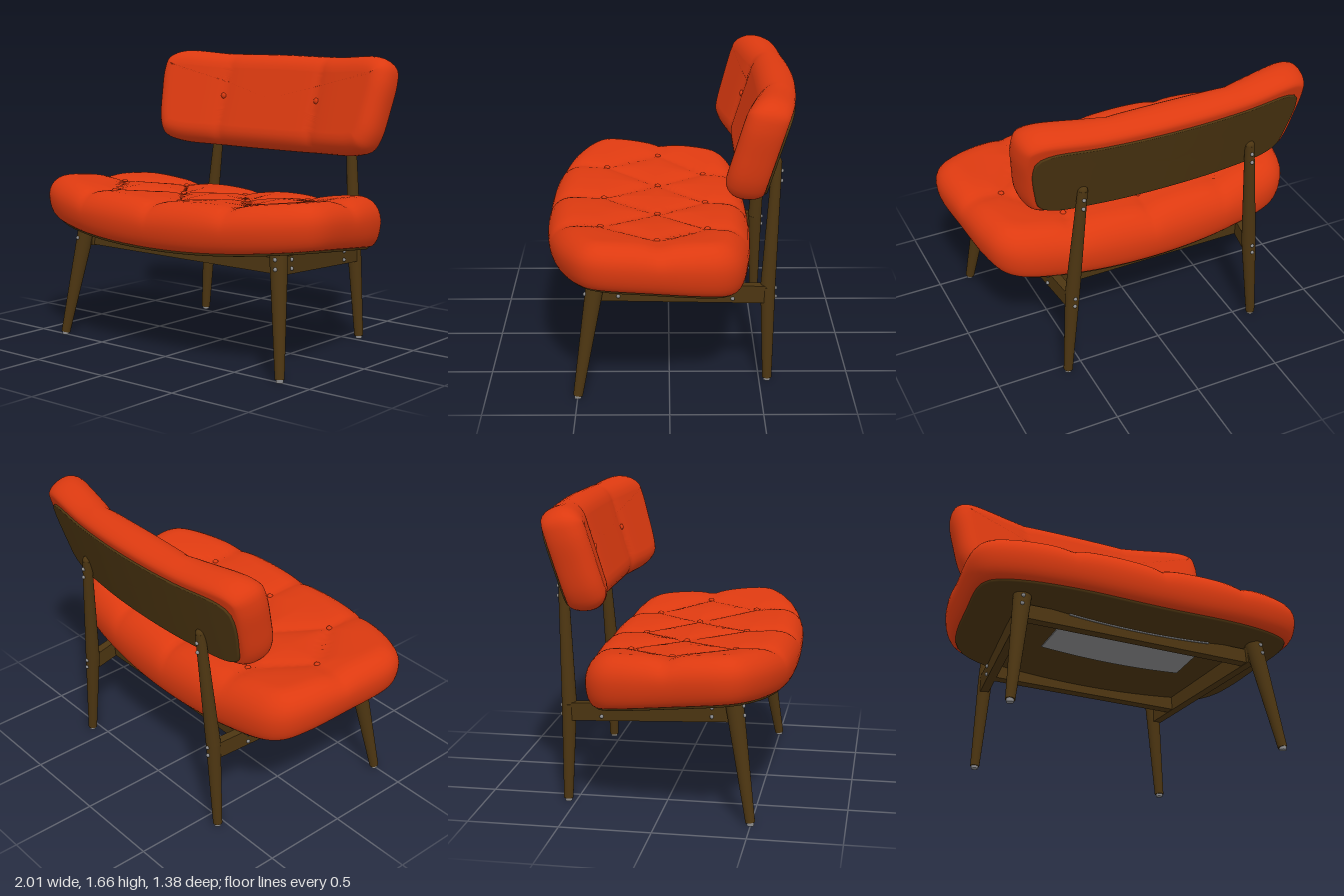
import * as THREE from 'three';

const fabric = new THREE.MeshStandardMaterial({ color: 0xdd3a10 });
fabric.name = 'orange fabric';
const wood = new THREE.MeshStandardMaterial({ color: 0x4c3511 });
wood.name = 'dark wood';
const metal = new THREE.MeshStandardMaterial({ color: 0x8c8c8e });
metal.name = 'grey metal';

const V = (x, y, z) => new THREE.Vector3(x, y, z);

function mesh(parent, name, geometry, material) {
  const m = new THREE.Mesh(geometry, material);
  m.name = name;
  parent.add(m);
  return m;
}

// Closed outline from half of its points, first and last on the centre line
function outline(half) {
  const other = half.slice(1, -1).reverse().map(([a, b]) => [-a, b]);
  const pts = [...half, ...other].map(([a, b]) => V(a, b, 0));
  return new THREE.CatmullRomCurve3(pts, true, 'centripetal');
}

// Padded slab: rings run from the back centre, round the rim, to the front centre.
// place(a, b, h) bends the flat slab into shape; h is 0 on the back and 1 on the front.
function pad(curve, centre, [rBack, rFront], place, n = 180, flat = 26) {
  const pts = curve.getSpacedPoints(n).slice(0, n);
  const rings = [];
  for (let k = 0; k < flat; k++) rings.push([rBack, k / flat, 0]);
  for (let k = 0; k <= 14; k++) {
    const t = (k / 14 - 0.5) * Math.PI;
    rings.push([(t < 0 ? rBack : rFront) * (1 - Math.cos(t)), 1, 0.5 + 0.5 * Math.sin(t)]);
  }
  for (let k = flat - 1; k >= 0; k--) rings.push([rFront, k / flat, 1]);

  // inward direction, from the neighbours on the outline
  const turn = Math.sign(pts.reduce((s, p, i) => {
    const q = pts[(i + 1) % n];
    return s + p.x * q.y - q.x * p.y;
  }, 0));
  const inward = pts.map((p, i) => {
    const d = pts[(i + 1) % n].clone().sub(pts[(i + n - 1) % n]).normalize();
    return [-d.y * turn, d.x * turn];
  });

  const pos = [], index = [];
  rings.forEach(([inset, s, h], j) => {
    pts.forEach((p, i) => {
      const a = p.x + inward[i][0] * inset, b = p.y + inward[i][1] * inset;
      pos.push(...place(a * s, centre + (b - centre) * s, h).toArray());
      if (j === rings.length - 1) return;
      const p0 = j * n + i, p1 = j * n + (i + 1) % n;
      index.push(p0, p1, p0 + n, p1, p1 + n, p0 + n);
    });
  });
  const g = new THREE.BufferGeometry();
  g.setAttribute('position', new THREE.Float32BufferAttribute(pos, 3));
  g.setIndex(index);
  g.computeVertexNormals();
  return g;
}

// Round tapered bar between two points
function bar(parent, name, from, to, r0, r1, material = wood) {
  const m = mesh(parent, name, new THREE.CylinderGeometry(r1, r0, from.distanceTo(to), 24), material);
  m.position.lerpVectors(from, to, 0.5);
  m.quaternion.setFromUnitVectors(V(0, 1, 0), to.clone().sub(from).normalize());
  return m;
}

function ball(parent, name, p, r, material) {
  const m = mesh(parent, name, new THREE.SphereGeometry(r, 12, 8), material);
  m.position.copy(p);
  return m;
}

// Tufting pattern of the seat: button rows and the creases joining them
const backRow = [-0.46, 0, 0.46].map(x => [x, -0.21]);
const midRow = [-0.72, -0.24, 0.24, 0.72].map(x => [x, 0.065]);
const frontRow = [-0.5, 0, 0.5].map(x => [x, 0.375]);
const creases = [];
for (const m of midRow) {
  for (const p of [...backRow, ...frontRow]) if (Math.abs(p[0] - m[0]) < 0.3) creases.push([m, p]);
  if (Math.abs(m[0]) > 0.5) creases.push([m, [m[0] * 1.6, m[1] - 0.03]]);
}
for (const p of backRow) creases.push([p, [p[0], -0.6]]);
for (const p of frontRow) creases.push([p, [p[0] * 1.05, 0.8]]);

function distanceTo([[ax, az], [bx, bz]], x, z) {
  const dx = bx - ax, dz = bz - az;
  const t = THREE.MathUtils.clamp(((x - ax) * dx + (z - az) * dz) / (dx * dx + dz * dz), 0, 1);
  return Math.hypot(x - ax - dx * t, z - az - dz * t);
}

// Dished, backward sloping underside of the seat
const underside = (x, z) => 0.575 + 0.095 * x * x + 0.1 * z;

function seatPoint(x, z, h) {
  const d = Math.min(...creases.map(c => distanceTo(c, x, z)));
  const puff = 0.035 * (1 - 0.8 * x * x) - 0.032 * Math.exp(-d / 0.07);
  return V(x, underside(x, z) + h * (0.265 - 0.05 * z) + h * h * puff, z);
}

// Reclined backrest with wings bent forward
const backPlane = (x, y) => -0.54 - 0.31 * (y - 1.09) + 0.13 * x * x;

function backPoint(x, y, h) {
  const ax = Math.abs(x);
  const front = -0.34 - 0.31 * (y - 1.09) + 0.22 * Math.max(0, ax - 0.33);
  const crease = 0.012 * h * h * Math.exp(-Math.abs(ax - 0.35) / 0.04);
  return V(x, y + (h - 0.5) * 0.05, THREE.MathUtils.lerp(backPlane(x, y), front, h) - crease);
}

export function createModel() {
  const chair = new THREE.Group();
  chair.name = 'loungeChair';

  // Seat cushion, its board and the plate underneath
  const seatHalf = [[0, 0.685], [0.5, 0.655], [0.82, 0.56], [0.96, 0.465], [1, 0.37], [0.975, 0.08],
    [0.94, -0.17], [0.89, -0.31], [0.8, -0.385], [0.5, -0.44], [0, -0.465]];
  mesh(chair, 'seatCushion', pad(outline(seatHalf), 0.1, [0.06, 0.14], seatPoint), fabric);
  const boardHalf = seatHalf.map(([x, z]) => [x * 0.94, 0.1 + (z - 0.1) * 0.91]);
  mesh(chair, 'seatBoard', pad(outline(boardHalf), 0.1, [0.008, 0.008],
    (x, z, h) => V(x, underside(x, z) - 0.012 + h * 0.03, z), 90, 10), wood);
  const plate = new THREE.BoxGeometry(0.86, 0.008, 0.38, 16, 1, 1).translate(0, 0, 0.19);
  const pp = plate.attributes.position;
  for (let i = 0; i < pp.count; i++) {
    pp.setY(i, pp.getY(i) + underside(pp.getX(i), pp.getZ(i)) - 0.015);
  }
  plate.computeVertexNormals();
  mesh(chair, 'undersidePlate', plate, metal);

  // Backrest cushion and rear panel
  const restHalf = [[0, 1.088], [0.4, 1.092], [0.66, 1.105], [0.75, 1.135], [0.795, 1.21], [0.825, 1.38],
    [0.838, 1.53], [0.82, 1.61], [0.74, 1.652], [0.4, 1.642], [0, 1.645]];
  mesh(chair, 'backCushion', pad(outline(restHalf), 1.37, [0.05, 0.1], backPoint), fabric);
  const panelHalf = [[0, 1.13], [0.4, 1.13], [0.64, 1.14], [0.715, 1.18], [0.745, 1.28],
    [0.77, 1.45], [0.755, 1.53], [0.69, 1.565], [0.4, 1.565], [0, 1.565]];
  mesh(chair, 'backPanel', pad(outline(panelHalf), 1.35, [0.008, 0.008],
    (x, y, h) => V(x, y - 0.025, backPlane(x, y) - 0.012 + h * 0.03), 90, 10), wood);

  // Buttons
  for (const [x, z] of [...backRow, ...midRow, ...frontRow]) {
    ball(chair, 'seatButton', seatPoint(x, z, 1).add(V(0, 0.004, 0)), 0.017, fabric).scale.y = 0.7;
  }
  for (const x of [-0.35, 0.35]) {
    ball(chair, 'backButton', backPoint(x, 1.37, 1).add(V(0, 0, 0.003)), 0.018, fabric).scale.z = 0.7;
  }

  // Legs, side rails and hardware
  for (const s of [1, -1]) {
    const side = new THREE.Group();
    side.name = s > 0 ? 'leftFrame' : 'rightFrame';
    chair.add(side);
    bar(side, 'frontLeg', V(s * 0.805, 0.015, 0.498), V(s * 0.715, 0.655, 0.395), 0.026, 0.05);
    bar(side, 'backLegLower', V(s * 0.595, 0.015, -0.545), V(s * 0.555, 0.55, -0.541), 0.026, 0.041);
    bar(side, 'backLegUpper', V(s * 0.555, 0.55, -0.541), V(s * 0.497, 1.25, -0.578), 0.041, 0.027);
    ball(side, 'backLegTip', V(s * 0.497, 1.25, -0.578), 0.027, wood);
    bar(side, 'frontGlide', V(s * 0.806, 0, 0.499), V(s * 0.806, 0.02, 0.499), 0.02, 0.02, metal);
    bar(side, 'backGlide', V(s * 0.595, 0, -0.545), V(s * 0.595, 0.02, -0.545), 0.02, 0.02, metal);

    const from = V(s * 0.565, 0.512, -0.53), to = V(s * 0.7, 0.59, 0.39);
    const rail = mesh(side, 'sideRail', new THREE.BoxGeometry(0.05, 0.1, from.distanceTo(to)), wood);
    rail.position.lerpVectors(from, to, 0.5);
    rail.lookAt(to);

    const screws = [
      [0.73, 0.635, 0.447], [0.737, 0.585, 0.453],
      [0.711, 0.61, 0.275], [0.711, 0.56, 0.275],
      [0.62, 0.553, -0.345], [0.62, 0.503, -0.345],
      [0.555, 0.54, -0.582], [0.559, 0.49, -0.582],
      [0.501, 1.2, -0.604], [0.505, 1.145, -0.603],
    ];
    for (const [x, y, z] of screws) ball(side, 'screw', V(s * x, y, z), 0.011, metal);
  }

  // Cross rails
  const frontRail = mesh(chair, 'frontCrossRail', new THREE.BoxGeometry(1.36, 0.085, 0.05), wood);
  frontRail.position.set(0, 0.582, 0.35);
  const backRail = mesh(chair, 'backCrossRail', new THREE.BoxGeometry(1.16, 0.085, 0.05), wood);
  backRail.position.set(0, 0.522, -0.345);
  for (const r of [frontRail, backRail]) r.rotation.x = -0.09;

  return chair;
}
